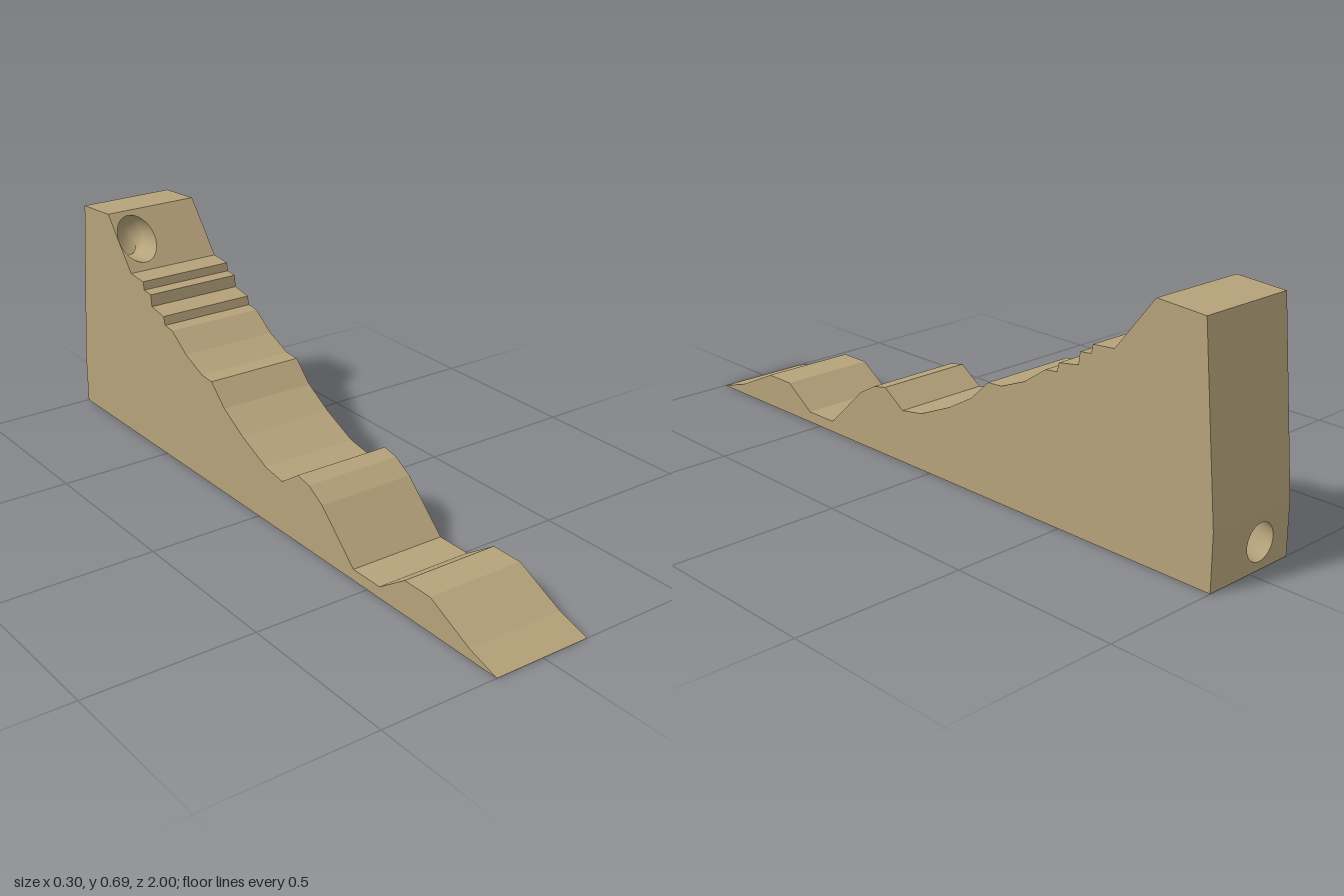
import * as THREE from 'three';
import { mergeGeometries } from 'three/addons/utils/BufferGeometryUtils.js';

const HALF = 0.15; // half the width of the ramp
const SEG = 32;

// Outline as [z, y], from the front toe over the top and down the back
const PROFILE = [
  [1, 0], [0.9, 0.03], [0.75, 0.1], [0.65, 0.1], [0.55, 0.033], [0.44, 0.033],
  [0.3, 0.163], [0.24, 0.197], [0.19, 0.207], [0.115, 0.157], [0.035, 0.17],
  [-0.08, 0.22], [-0.17, 0.272], [-0.235, 0.333], [-0.285, 0.336], [-0.37, 0.371],
  [-0.445, 0.423], [-0.485, 0.427], [-0.492, 0.453], [-0.558, 0.464], [-0.563, 0.5],
  [-0.6, 0.504], [-0.605, 0.529], [-0.675, 0.535], [-0.8, 0.69], [-0.95, 0.68],
  [-1, 0.16], [-1, 0],
];

// Openings of the tunnel, keyed by the outline segment they pierce
const MOUTH = { x: -0.0873, y: 0.616, r: 0.0615 };
const EXIT = { x: -0.037, y: 0.075, r: 0.052 };
const HOLES = { 23: MOUTH, 26: EXIT };

// One flat strip of the surface between two outline points, with an optional hole
function strip([z0, y0], [z1, y1], hole) {
  const len = Math.hypot(z1 - z0, y1 - y0);
  const shape = new THREE.Shape([
    new THREE.Vector2(-HALF, 0), new THREE.Vector2(HALF, 0),
    new THREE.Vector2(HALF, len), new THREE.Vector2(-HALF, len),
  ]);
  if (hole) {
    const stretch = len / Math.abs(y1 - y0);
    const v = ((hole.y - y0) / (y1 - y0)) * len;
    shape.holes.push(new THREE.Path().absellipse(
      hole.x, v, hole.r, hole.r * stretch, 0, Math.PI * 2, true));
  }
  const geo = new THREE.ShapeGeometry(shape, SEG / 2);
  const pos = geo.attributes.position;
  for (let i = 0; i < pos.count; i++) {
    const t = pos.getY(i) / len;
    pos.setXYZ(i, pos.getX(i), y0 + (y1 - y0) * t, z0 + (z1 - z0) * t);
  }
  geo.computeVertexNormals();
  return geo;
}

// Flat side wall; side is +1 or -1
function wall(side) {
  const shape = new THREE.Shape(PROFILE.map(([z, y]) => new THREE.Vector2(-side * z, y)));
  return new THREE.ShapeGeometry(shape)
    .rotateY(side * Math.PI / 2)
    .translate(side * HALF, 0, 0);
}

// Tunnel lofted through rings: [x, y, z, radius, up-vector y, up-vector z]
function tunnelGeometry() {
  const tilted = (x, y, z, r, deg) => {
    const t = THREE.MathUtils.degToRad(deg);
    return [x, y, z, r, Math.cos(t), -Math.sin(t)];
  };
  const slope = (-0.8 + 0.675) / (0.69 - 0.535);
  const rings = [
    [MOUTH.x, MOUTH.y, -0.8 + (MOUTH.y - 0.69) * slope, MOUTH.r, 1, slope],
    tilted(-0.087, 0.606, -0.815, 0.06, 20),
    tilted(-0.085, 0.57, -0.868, 0.058, 55),
    tilted(-0.08, 0.51, -0.885, 0.056, 85),
    tilted(-0.05, 0.2, -0.905, 0.052, 85),
    tilted(-0.042, 0.12, -0.925, 0.052, 50),
    tilted(-0.038, 0.082, -0.96, 0.052, 15),
    tilted(EXIT.x, EXIT.y, -1, EXIT.r, 0),
  ];
  const points = [], index = [];
  rings.forEach(([x, y, z, r, uy, uz], i) => {
    for (let j = 0; j < SEG; j++) {
      const a = (j / SEG) * Math.PI * 2, s = r * Math.sin(a);
      points.push(x + r * Math.cos(a), y + s * uy, z + s * uz);
      if (i === 0) continue;
      const k = (j + 1) % SEG, p = (i - 1) * SEG, q = i * SEG;
      // wound so that the faces look into the tunnel
      index.push(p + j, q + j, p + k, p + k, q + j, q + k);
    }
  });
  const geo = new THREE.BufferGeometry();
  geo.setAttribute('position', new THREE.Float32BufferAttribute(points, 3));
  geo.setIndex(index);
  geo.computeVertexNormals();
  return geo;
}

export function createModel() {
  const group = new THREE.Group();
  group.name = 'marbleRamp';
  const color = 0xb5a27a;

  // Solid stepped and wavy ramp body
  const faces = PROFILE.map((p, i) => strip(p, PROFILE[(i + 1) % PROFILE.length], HOLES[i]));
  const body = new THREE.Mesh(
    mergeGeometries([...faces, wall(1), wall(-1)]),
    new THREE.MeshStandardMaterial({ color }));
  body.name = 'rampBody';
  group.add(body);

  // Tunnel from the upper slope down to the back
  const tunnel = new THREE.Mesh(
    tunnelGeometry(),
    new THREE.MeshStandardMaterial({ color, side: THREE.DoubleSide }));
  tunnel.name = 'tunnel';
  group.add(tunnel);

  return group;
}
